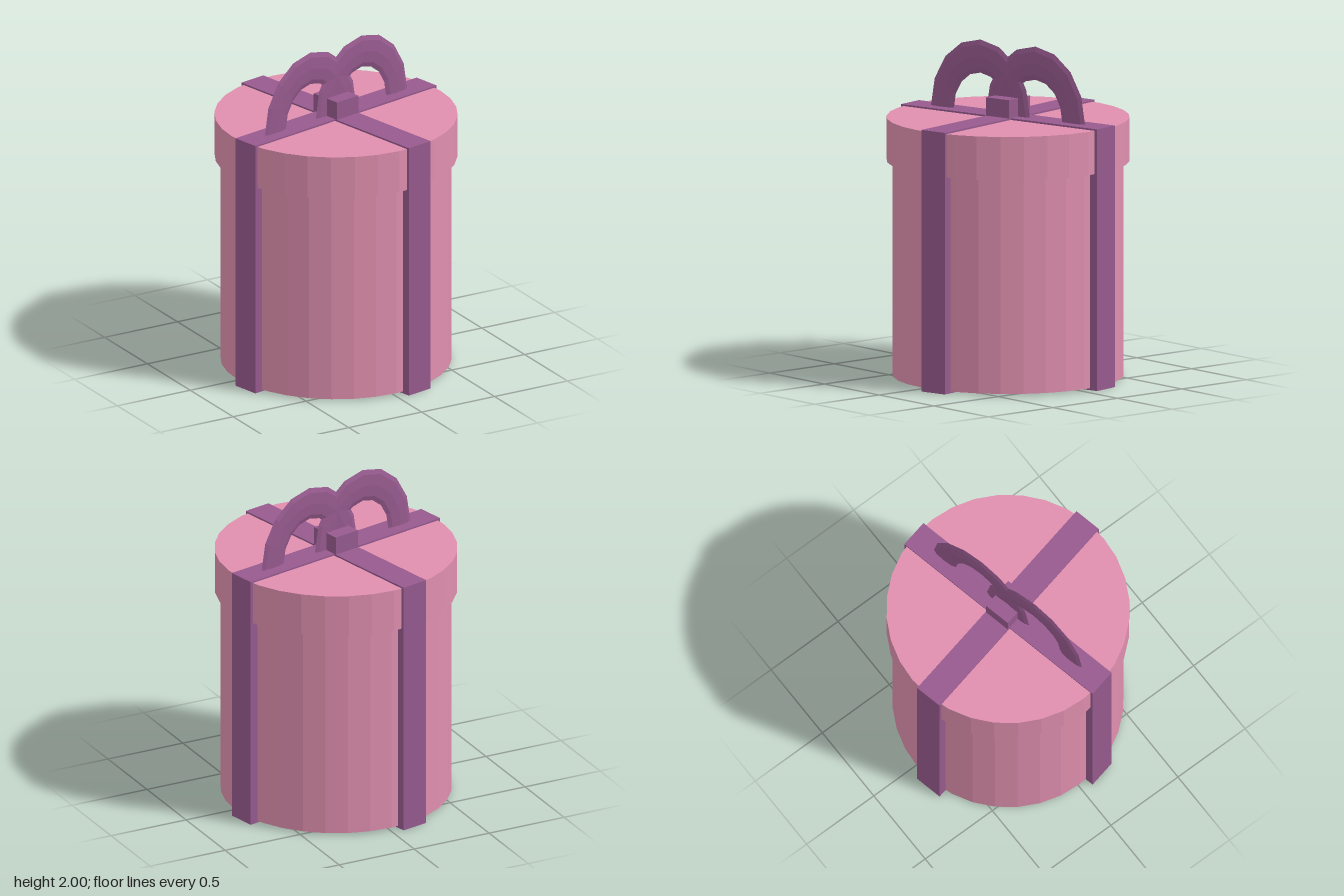
import * as THREE from 'three';

export function createModel() {
  const model = new THREE.Group();
  model.name = 'giftBox';

  const pink = new THREE.MeshStandardMaterial({ color: 0xdf8fae, flatShading: true });
  pink.name = 'pink';
  const purple = new THREE.MeshStandardMaterial({ color: 0x965a8e, flatShading: true });
  purple.name = 'purple';

  const add = (name, geometry, material, x, y, z) => {
    const mesh = new THREE.Mesh(geometry, material);
    mesh.name = name;
    mesh.position.set(x, y, z);
    model.add(mesh);
    return mesh;
  };
  // Round part spanning two heights
  const drum = (name, radius, y0, y1) =>
    add(name, new THREE.CylinderGeometry(radius, radius, y1 - y0, 32), pink, 0, (y0 + y1) / 2, 0);

  // Round box and its wider lid
  drum('body', 0.685, 0.012, 1.4);
  drum('lid', 0.72, 1.3, 1.56);

  // Two ribbon bands wrapped crosswise around the box
  const ribbonHeight = 1.57;
  const band = new THREE.BoxGeometry(1.458, ribbonHeight, 0.174);
  add('ribbonAcross', band, purple, 0, ribbonHeight / 2, 0);
  add('ribbonFrontToBack', band, purple, 0, ribbonHeight / 2, 0).rotation.y = Math.PI / 2;

  // Bow: two thin, overlapping half-ring loops
  const loop = new THREE.TorusGeometry(0.283, 0.085, 8, 8, Math.PI);
  loop.scale(1, 1.17, 0.17);
  add('bowLoopLeft', loop, purple, 0.205, ribbonHeight, 0);
  add('bowLoopRight', loop, purple, -0.205, ribbonHeight, 0);

  // Knot in the middle of the bow
  add('knot', new THREE.BoxGeometry(0.17, 0.13, 0.204), purple, 0, 1.615, 0);

  // The whole box stands slightly turned
  model.rotation.y = THREE.MathUtils.degToRad(12.3);
  const root = new THREE.Group();
  root.name = 'gift';
  root.add(model);
  return root;
}
